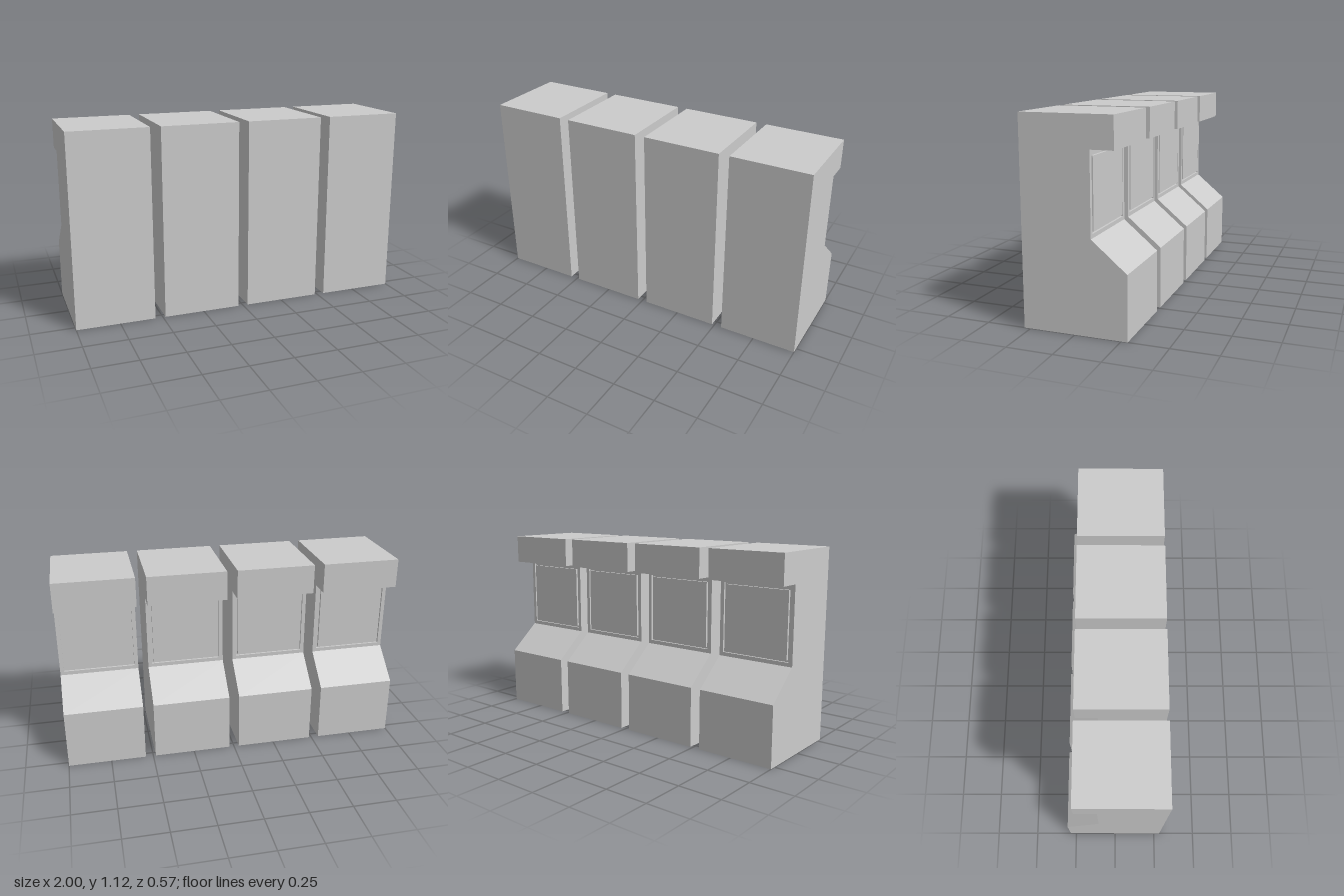
import * as THREE from 'three';

const WIDTH = 0.455, PITCH = 0.515, COUNT = 4;
const BOTTOM = 0.505, TOP = 0.945; // display opening heights
const FACE = -0.095, DEPTH = 0.012; // bezel face and recess depth

const material = new THREE.MeshStandardMaterial({ color: 0xcccccc, flatShading: true });

function rectangle(PathType, w, y0, y1) {
  return new PathType([[-w / 2, y0], [w / 2, y0], [w / 2, y1], [-w / 2, y1]]
    .map(([x, y]) => new THREE.Vector2(x, y)));
}

function addMesh(group, name, geometry) {
  const mesh = new THREE.Mesh(geometry, material);
  mesh.name = name;
  group.add(mesh);
  return mesh;
}

function createCabinet() {
  const cabinet = new THREE.Group();

  // Side profile (depth towards -z, height), swept across the width
  const profile = new THREE.Shape([
    [-0.285, 0], [0.285, 0], [0.285, 0.345], [-FACE, BOTTOM],
    [-FACE - DEPTH, BOTTOM], [-FACE - DEPTH, TOP], [0.22, TOP],
    [0.22, 1.115], [-0.285, 1.115],
  ].map(([d, y]) => new THREE.Vector2(d, y)));
  const body = new THREE.ExtrudeGeometry(profile, { depth: WIDTH, bevelEnabled: false });
  body.rotateY(Math.PI / 2).translate(-WIDTH / 2, 0, 0);
  addMesh(cabinet, 'cabinetBody', body);

  // Bezel around the display
  const frame = rectangle(THREE.Shape, WIDTH, BOTTOM, TOP);
  frame.holes.push(rectangle(THREE.Path, WIDTH - 0.045, BOTTOM + 0.022, TOP - 0.022));
  const bezel = new THREE.ExtrudeGeometry(frame, { depth: DEPTH, bevelEnabled: false });
  bezel.translate(0, 0, FACE);
  addMesh(cabinet, 'screenBezel', bezel);

  // Display panel, separated from the bezel by a narrow groove
  const screen = addMesh(cabinet, 'screen',
    new THREE.BoxGeometry(WIDTH - 0.067, TOP - BOTTOM - 0.066, DEPTH + 0.002));
  screen.position.set(0, (TOP + BOTTOM) / 2, FACE + DEPTH / 2 - 0.001);

  return cabinet;
}

export function createModel() {
  const model = new THREE.Group();
  model.name = 'arcadeCabinetRow';
  // Four identical cabinets in a row
  for (let i = 0; i < COUNT; i++) {
    const cabinet = createCabinet();
    cabinet.name = `cabinet${i + 1}`;
    cabinet.position.x = (i - (COUNT - 1) / 2) * PITCH;
    model.add(cabinet);
  }
  return model;
}
